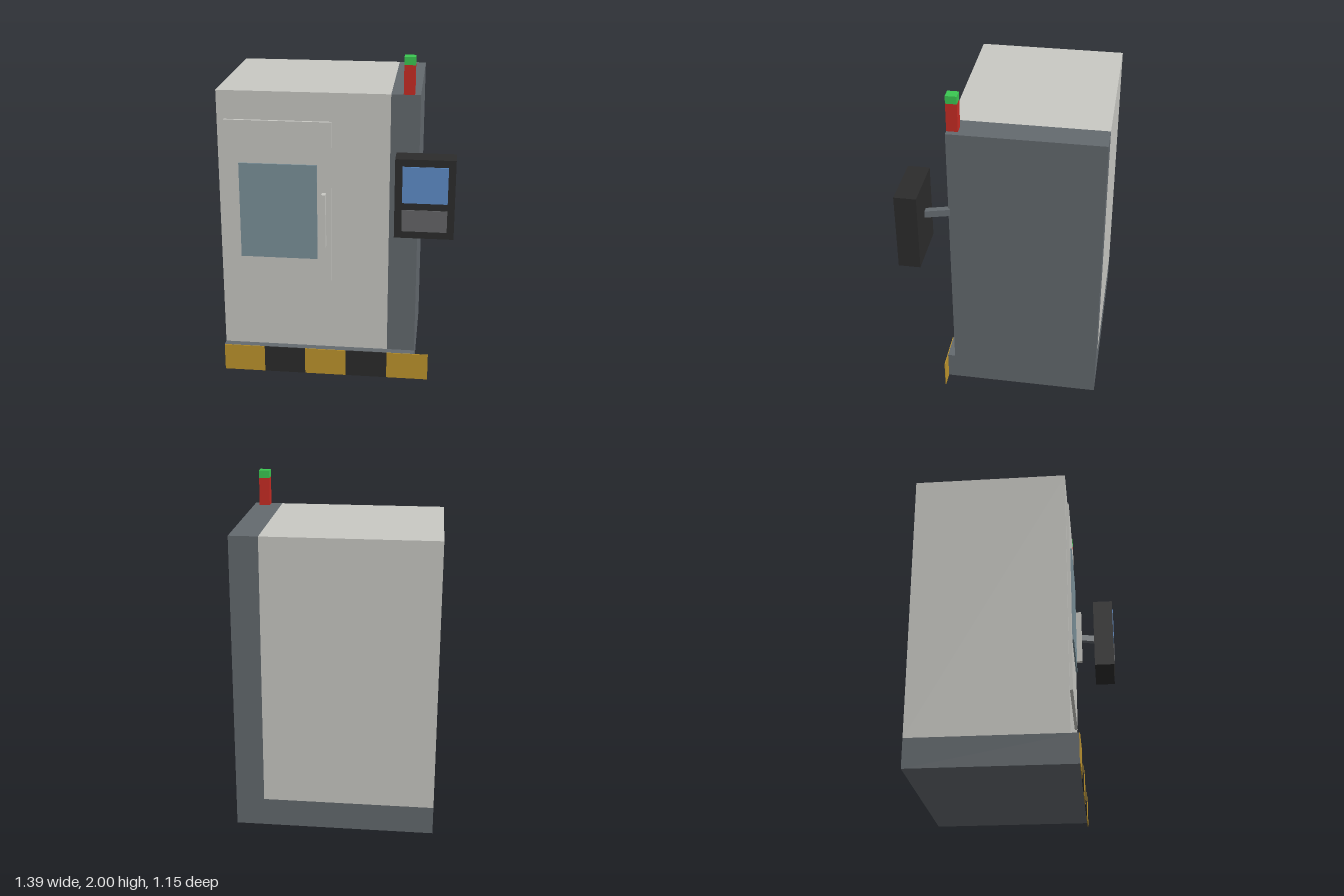
import * as THREE from 'three';

const mat = (name, color) => {
  const m = new THREE.MeshStandardMaterial({ color });
  m.name = name;
  return m;
};

export function createModel() {
  const group = new THREE.Group();
  const light = mat('light grey paint', 0xc9c9c4);
  const dark = mat('dark grey paint', 0x646a6f);
  const yellow = mat('hazard yellow', 0xbf952d);
  const black = mat('black', 0x2c2c2c);
  const glass = mat('window glass', 0x7c929b);
  const blue = mat('screen blue', 0x5f8fcb);
  const keys = mat('keypad grey', 0x666769);
  const red = mat('lamp red', 0xc92c24);
  const green = mat('lamp green', 0x3bc852);
  // the hazard plate is seen from behind where it overhangs
  // Box given by its limits on each axis
  const box = (name, material, [x0, x1], [y0, y1], [z0, z1]) => {
    const mesh = new THREE.Mesh(new THREE.BoxGeometry(x1 - x0, y1 - y0, z1 - z0), material);
    mesh.position.set((x0 + x1) / 2, (y0 + y1) / 2, (z0 + z1) / 2);
    mesh.name = name;
    group.add(mesh);
    return mesh;
  };

  // Cabinet
  box('plinth', dark, [-0.697, 0.483], [0, 0.17], [-0.575, 0.36]);
  box('cabinet', light, [-0.697, 0.315], [0.17, 1.785], [-0.575, 0.315]);
  box('sideColumn', dark, [0.315, 0.483], [0.17, 1.785], [-0.575, 0.315]);

  // Hazard stripes along the front of the plinth
  const stripe = 0.2534;
  for (let i = 0; i < 5; i++) {
    const x = -0.697 + i * stripe;
    box('hazardStripe' + (i + 1), i % 2 ? black : yellow, [x, x + stripe], [0, 0.17], [0.36, 0.365]);
  }

  // Door
  box('door', light, [-0.655, -0.025], [0.43, 1.615], [0.315, 0.332]);
  box('doorWindow', glass, [-0.573, -0.11], [0.767, 1.357], [0.332, 0.341]);
  box('doorHandle', light, [-0.081, -0.057], [0.853, 1.187], [0.332, 0.373]);

  // Signal lamp
  box('lampRed', red, [0.385, 0.449], [1.785, 1.954], [0.25, 0.315]);
  box('lampGreen', green, [0.385, 0.449], [1.954, 2], [0.25, 0.315]);

  // Control panel on a slanted arm
  const arm = new THREE.Mesh(new THREE.BoxGeometry(0.036, 0.042, 0.145), dark);
  arm.position.set(0.498, 1.277, 0.378);
  arm.rotation.y = Math.atan2(0.037, 0.135);
  arm.name = 'panelArm';
  group.add(arm);
  box('controlPanel', black, [0.358, 0.694], [1.02, 1.484], [0.443, 0.57]);
  box('panelScreen', blue, [0.4, 0.654], [1.23, 1.442], [0.57, 0.575]);
  box('panelKeypad', keys, [0.4, 0.654], [1.062, 1.189], [0.57, 0.575]);

  return group;
}
